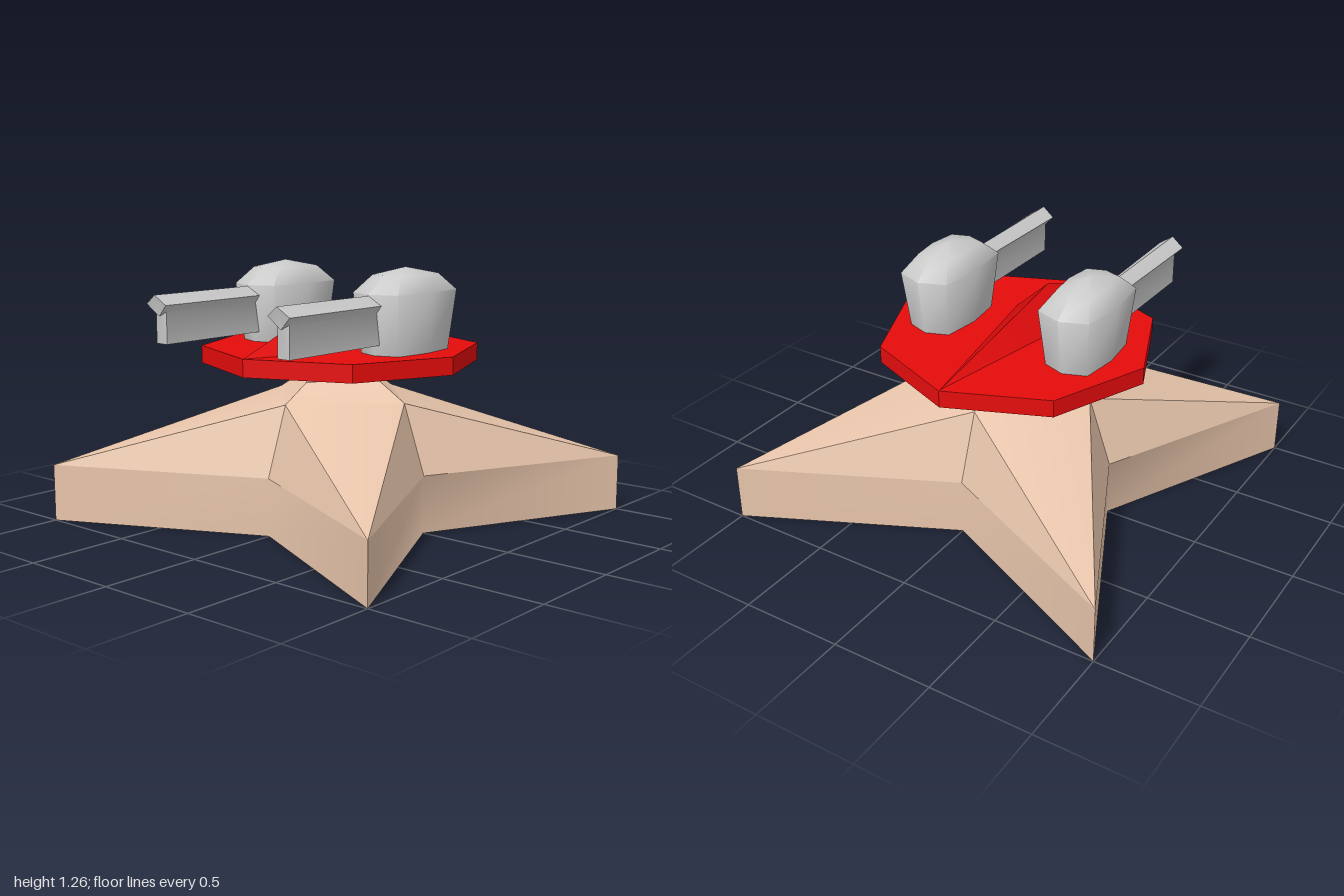
import * as THREE from 'three';
import { toCreasedNormals } from 'three/addons/utils/BufferGeometryUtils.js';

const sand = new THREE.MeshStandardMaterial({ color: 0xe8c5ab });
const red = new THREE.MeshStandardMaterial({ color: 0xe60c0c });
const grey = new THREE.MeshStandardMaterial({ color: 0xcccccc });

// Builds a mesh from triangles of [x, y, z] corners; edges sharper than the crease angle stay hard.
function triMesh(name, tris, material, crease) {
  const geo = new THREE.BufferGeometry();
  geo.setAttribute('position', new THREE.Float32BufferAttribute(tris.flat(2), 3));
  const mesh = new THREE.Mesh(toCreasedNormals(geo, crease), material);
  mesh.name = name;
  return mesh;
}

const quad = (a, b, c, d) => [[a, b, c], [a, c, d]];
const centre = ring => [0, 1, 2].map(k => ring.reduce((s, p) => s + p[k], 0) / ring.length);

// Joins rings of equal length (counterclockwise seen from the last ring's end) and caps both ends.
function loft(rings) {
  const tris = [];
  const n = rings[0].length;
  const first = rings[0], last = rings[rings.length - 1];
  const c0 = centre(first), c1 = centre(last);
  for (let i = 0; i < n; i++) {
    const j = (i + 1) % n;
    for (let r = 0; r + 1 < rings.length; r++) {
      tris.push(...quad(rings[r][i], rings[r][j], rings[r + 1][j], rings[r + 1][i]));
    }
    tris.push([c0, first[j], first[i]], [c1, last[i], last[j]]);
  }
  return tris;
}

// Four-pointed star with upright walls, sloping arms and a small flat-topped cap
function makeBase() {
  const base = new THREE.Group();
  base.name = 'starBase';
  const walls = [], roof = [];
  for (let q = 0; q < 4; q++) {
    const axis = (r, y, k) => {
      const a = (q + k) * Math.PI / 2;
      return [r * Math.cos(a), y, -r * Math.sin(a)];
    };
    const tip = y => axis(Math.SQRT2, y, 0.5);
    const v0 = axis(0.52, 0.28, 0), v1 = axis(0.52, 0.28, 1), t = tip(0.28);
    const w0 = axis(0.52, 0, 0), w1 = axis(0.52, 0, 1), s = tip(0);
    const u0 = axis(0.4, 0.615, 0), u1 = axis(0.4, 0.615, 1);
    const d0 = axis(0.25, 0.705, 0), d1 = axis(0.25, 0.705, 1);
    walls.push(...quad(w0, s, t, v0), ...quad(s, w1, v1, t));
    walls.push([[0, 0, 0], s, w0], [[0, 0, 0], w1, s]);
    roof.push([v0, t, u0], [u0, t, u1], [t, v1, u1]);
    roof.push(...quad(u0, u1, d1, d0), [d0, d1, [0, 0.705, 0]]);
  }
  base.add(triMesh('baseWalls', walls, sand, 1.0), triMesh('baseRoof', roof, sand, 0.5));
  return base;
}

// Octagonal deck with a low off-centre ridge
function makeDeck() {
  const deck = new THREE.Group();
  deck.name = 'deck';
  const slab = new THREE.Mesh(new THREE.CylinderGeometry(0.68, 0.68, 0.085, 8).toNonIndexed(), red);
  slab.geometry.computeVertexNormals();
  slab.name = 'deckSlab';
  slab.position.y = 0.8225;
  const apex = [0, 1.02, 0.27];
  const foot = [[0.17, 0.863, 0.25], [0, 0.863, -0.68], [-0.17, 0.863, 0.25], [0, 0.863, 0.68]];
  const ridge = foot.map((p, i) => [p, foot[(i + 1) % 4], apex]);
  deck.add(slab, triMesh('deckRidge', ridge, red, 1.0));
  return deck;
}

// Rounded gun housing: eight-sided rings, widest at the shoulder, under a shallow dome
function makeTurret(side) {
  const turret = new THREE.Group();
  turret.name = side > 0 ? 'leftTurret' : 'rightTurret';
  const outline = [[1, 0], [0.83, -0.82], [0, -1], [-0.83, -0.82],
    [-1, 0], [-0.83, 0.82], [0, 1], [0.83, 0.82]];
  const levels = [[0.865, 0.135, 0.23], [1.15, 0.16, 0.275], [1.23, 0.105, 0.17], [1.262, 0.004, 0.004]];
  const rings = levels.map(([y, rx, rz]) => outline.map(([x, z]) => [x * rx, y, z * rz - 0.02]));
  turret.add(triMesh('turretHousing', loft(rings), grey, 1.1));

  // Barrel: narrow stem under a flared, pointed top, with the top overhanging at the muzzle
  const profile = [[0.035, 1.065], [0.065, 1.1], [0, 1.145], [-0.065, 1.1],
    [-0.035, 1.065], [-0.035, 0.915], [0.035, 0.915]];
  const section = (z, widen, overhang) => profile.map(([x, y]) =>
    [x * widen, y, z + (y > 1.12 ? 0.04 : y > 1.08 ? 0.03 : 0) * overhang]);
  const barrel = loft([section(0.12, 0.8, 0), section(0.82, 1, 1)]);
  turret.add(triMesh('turretBarrel', barrel, grey, 0.8));
  turret.position.x = side * 0.385;
  return turret;
}

export function createModel() {
  const model = new THREE.Group();
  model.name = 'twinGunEmplacement';
  model.add(makeBase(), makeDeck(), makeTurret(1), makeTurret(-1));
  return model;
}
